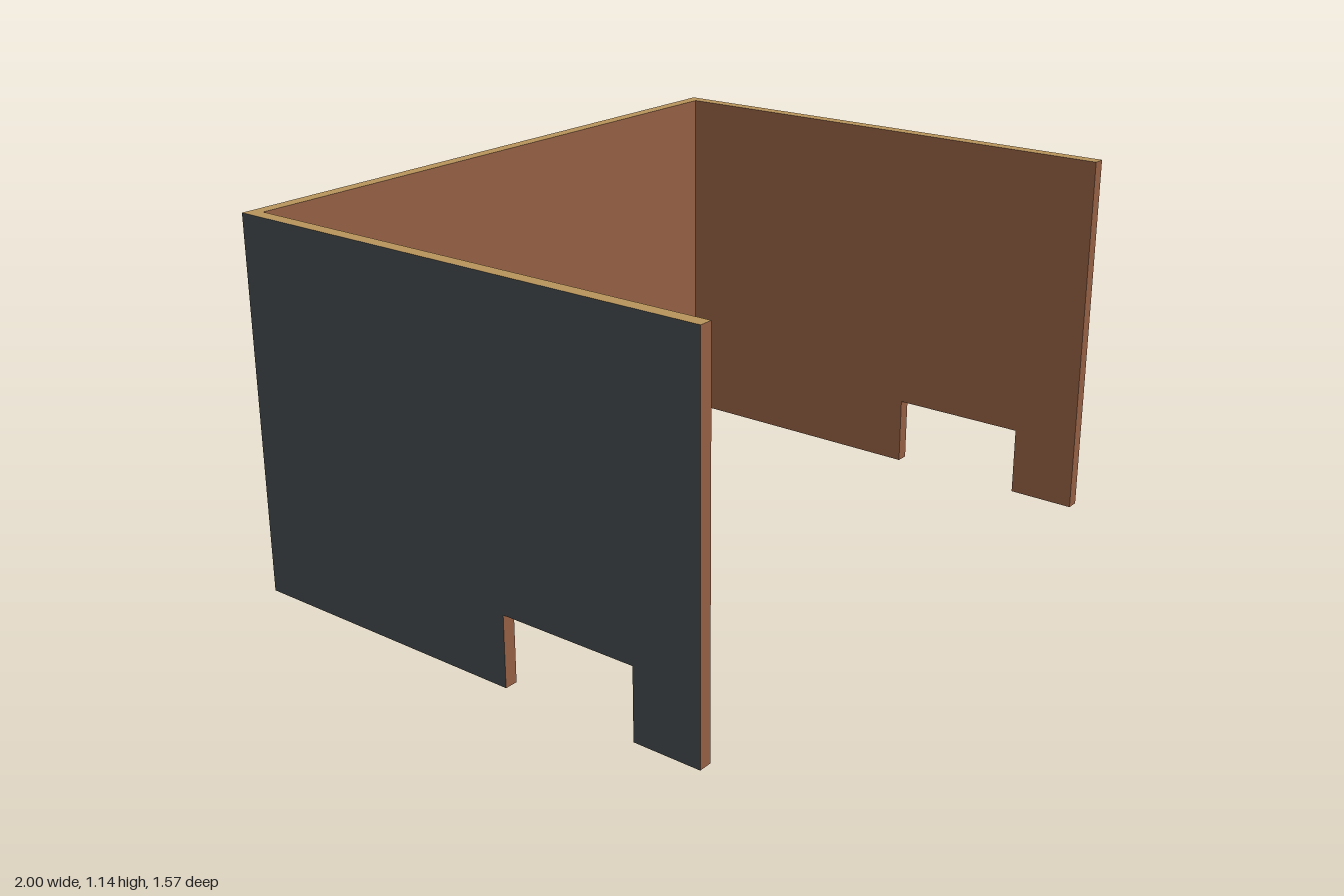
import * as THREE from 'three';

const HEIGHT = 1.14, THICK = 0.04, HALF_X = 1, HALF_Z = 0.785, NOTCH_H = 0.215;

// Upright panel from a to b with a notch in its foot from n0 to n1
function panel(a, b, n0, n1) {
  const shape = new THREE.Shape([
    [a, 0], [n0, 0], [n0, NOTCH_H], [n1, NOTCH_H], [n1, 0], [b, 0], [b, HEIGHT], [a, HEIGHT],
  ].map(([u, y]) => new THREE.Vector2(u, y)));
  return new THREE.ExtrudeGeometry(shape, { depth: THICK, bevelEnabled: false });
}

// Colour by facing: 0 = outer slate, 1 = inner brown, 2 = tan edges
function paint(geometry) {
  const p = geometry.attributes.position, n = geometry.attributes.normal;
  geometry.clearGroups();
  for (let i = 0; i < p.count; i += 3) {
    const outerSide = n.getX(i) * p.getX(i) > HALF_X - 0.01;
    const slot = Math.abs(n.getY(i)) > 0.5 ? 2 : outerSide || n.getZ(i) < -0.5 ? 0 : 1;
    geometry.addGroup(i, 3, slot);
  }
  return geometry;
}

export function createModel() {
  const group = new THREE.Group();
  group.name = 'threeSidedEnclosure';
  const materials = [0x434a4c, 0x935f43, 0xb8935c].map(
    (color) => new THREE.MeshStandardMaterial({ color }));

  const add = (name, geometry) => {
    const mesh = new THREE.Mesh(paint(geometry), materials);
    mesh.name = name;
    group.add(mesh);
  };

  // Back wall spans the full width
  add('backWall', panel(-HALF_X, HALF_X, -0.36, 0.36).translate(0, 0, -HALF_Z));

  // Side walls butt against the back wall
  for (const [name, x] of [['leftWall', HALF_X], ['rightWall', -HALF_X + THICK]]) {
    add(name, panel(-HALF_Z + THICK, HALF_Z, 0.14, 0.575).rotateY(-Math.PI / 2).translate(x, 0, 0));
  }
  return group;
}
